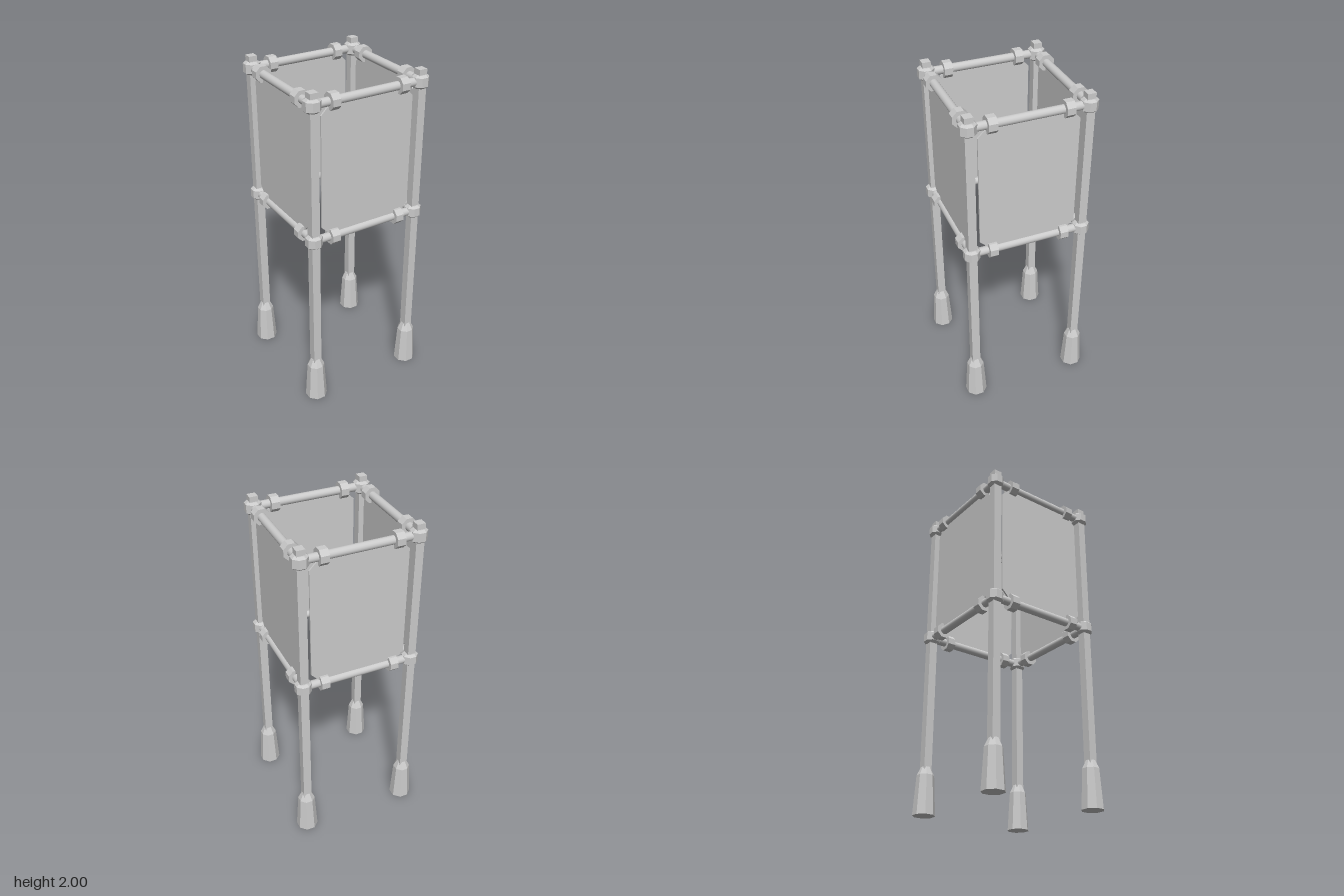
import * as THREE from 'three';

const C = 0.34; // distance of each post from the centre lines
const RAIL_Y = [1.125, 1.93];
const OCT = 1 / Math.cos(Math.PI / 8); // apothem to corner radius

const flat = new THREE.MeshStandardMaterial({ color: 0xcccccc, flatShading: true });
const smooth = new THREE.MeshStandardMaterial({ color: 0xcccccc });

// Eight-sided turned shape from [apothem, y] pairs, flats facing the axes
function octLathe(profile) {
  const pts = profile.map(([r, y]) => new THREE.Vector2(r * OCT, y));
  return new THREE.LatheGeometry(pts, 8, Math.PI / 8);
}

function add(parent, name, geometry, material, x, y, z) {
  const mesh = new THREE.Mesh(geometry, material);
  mesh.name = name;
  mesh.position.set(x, y, z);
  parent.add(mesh);
  return mesh;
}

export function createModel() {
  const model = new THREE.Group();
  model.name = 'postFrame';

  const postGeo = new THREE.BoxGeometry(0.05, 1.75, 0.05);
  const footGeo = octLathe([[0, 0], [0.0615, 0], [0.048, 0.235], [0.026, 0.285], [0, 0.285]]);
  const jointGeo = octLathe([[0, -0.038], [0.032, -0.038], [0.046, -0.026],
    [0.046, 0.026], [0.032, 0.038], [0, 0.038]]);
  const railGeo = new THREE.CylinderGeometry(0.025, 0.025, 2 * C, 16).rotateZ(Math.PI / 2);
  const clampGeo = octLathe([[0, -0.025], [0.046, -0.025], [0.046, 0.025], [0, 0.025]])
    .rotateZ(Math.PI / 2);

  // Panel with cut corners, tucked into the rails
  const w = 0.29, h = (RAIL_Y[1] - RAIL_Y[0]) / 2, c = 0.07;
  const outline = new THREE.Shape([[-w + c, -h], [w - c, -h], [w, -h + c], [w, h - c],
    [w - c, h], [-w + c, h], [-w, h - c], [-w, -h + c]].map(([x, y]) => new THREE.Vector2(x, y)));
  const panelGeo = new THREE.ExtrudeGeometry(outline, { depth: 0.01, bevelEnabled: false })
    .translate(0, 0, -0.005);

  // Corner posts with feet and joints
  for (const x of [-C, C]) {
    for (const z of [-C, C]) {
      const leg = new THREE.Group();
      leg.name = (z > 0 ? 'front' : 'back') + (x > 0 ? 'Left' : 'Right') + 'Leg';
      leg.position.set(x, 0, z);
      add(leg, 'post', postGeo, flat, 0, 1.125, 0);
      add(leg, 'foot', footGeo, flat, 0, 0, 0);
      for (const y of RAIL_Y) add(leg, 'joint', jointGeo, flat, 0, y, 0);
      model.add(leg);
    }
  }

  // Four sides, each with a panel and two clamped rails
  ['front', 'left', 'back', 'right'].forEach((name, i) => {
    const side = new THREE.Group();
    side.name = name + 'Side';
    side.rotation.y = i * Math.PI / 2;
    add(side, 'panel', panelGeo, flat, 0, (RAIL_Y[0] + RAIL_Y[1]) / 2, C);
    for (const y of RAIL_Y) {
      add(side, 'rail', railGeo, smooth, 0, y, C);
      for (const x of [-0.217, 0.217]) add(side, 'clamp', clampGeo, flat, x, y, C);
    }
    model.add(side);
  });

  return model;
}
